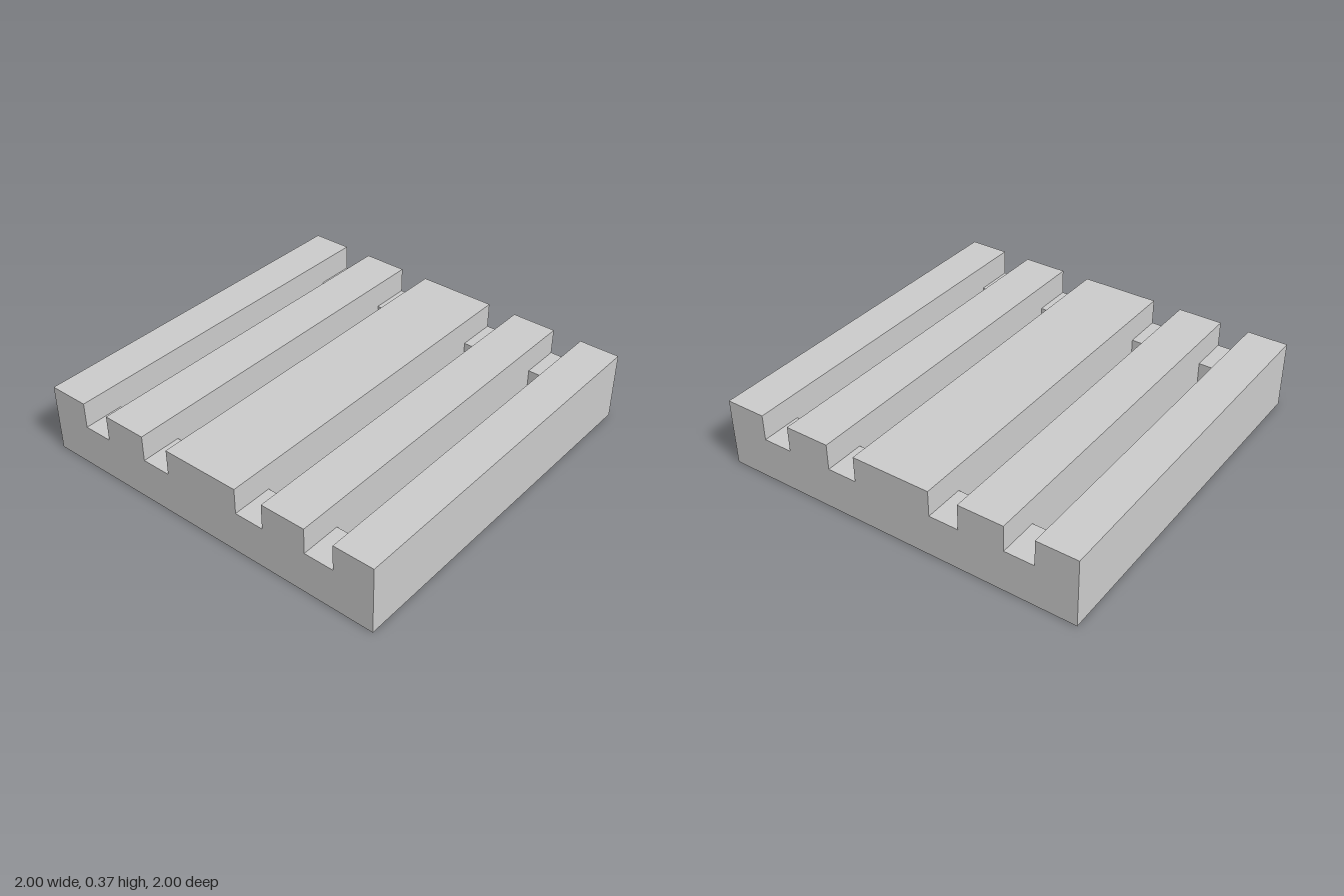
import * as THREE from 'three';

// Plan of the platform: x and z break lines, slats alternate with grooves along z
const X = [-1, -0.78, 0.78, 1];
const Z = [-1, -0.78, -0.62, -0.375, -0.215, 0.215, 0.375, 0.62, 0.78, 1];
const SLAT_TOP = 0.37;
const GROOVE_FLOOR = 0.23;

// Height of a plan cell: slat, groove floor at both ends, or open slot (0)
function heightAt(i, j) {
  if (i < 0 || j < 0 || i >= X.length - 1 || j >= Z.length - 1) return 0;
  if (j % 2 === 0) return SLAT_TOP;
  return i === 1 ? 0 : GROOVE_FLOOR;
}

// Outer faces of one cell; walls only where the neighbour is lower
function addCell(out, i, j) {
  const h = heightAt(i, j);
  const corners = [[X[i], Z[j + 1]], [X[i + 1], Z[j + 1]], [X[i + 1], Z[j]], [X[i], Z[j]]];
  const steps = [[0, 1], [1, 0], [0, -1], [-1, 0]];
  const quad = (a, b, c, d) => out.push(...a, ...b, ...c, ...a, ...c, ...d);
  const at = ([x, z], y) => [x, y, z];

  quad(...corners.map((c) => at(c, h)));
  quad(...corners.map((c) => at(c, 0)).reverse());
  steps.forEach(([di, dj], k) => {
    const low = heightAt(i + di, j + dj);
    if (low >= h) return;
    const p = corners[k], q = corners[(k + 1) % 4];
    quad(at(p, low), at(q, low), at(q, h), at(p, h));
  });
}

function makePart(name, cells, material) {
  const positions = [];
  cells.forEach(([i, j]) => addCell(positions, i, j));
  const geometry = new THREE.BufferGeometry();
  geometry.setAttribute('position', new THREE.Float32BufferAttribute(positions, 3));
  geometry.computeVertexNormals();
  const mesh = new THREE.Mesh(geometry, material);
  mesh.name = name;
  return mesh;
}

export function createModel() {
  const group = new THREE.Group();
  group.name = 'slottedPlatform';
  const material = new THREE.MeshStandardMaterial({ color: 0xcccccc, flatShading: true });

  for (let j = 0; j < Z.length - 1; j++) {
    if (j % 2 === 0) {
      // Full-length raised slat
      group.add(makePart(`slat${j / 2 + 1}`, [[0, j], [1, j], [2, j]], material));
    } else {
      // Lower bridges closing both ends of the open slot
      const n = (j + 1) / 2;
      group.add(makePart(`rightBridge${n}`, [[0, j]], material));
      group.add(makePart(`leftBridge${n}`, [[2, j]], material));
    }
  }
  return group;
}
